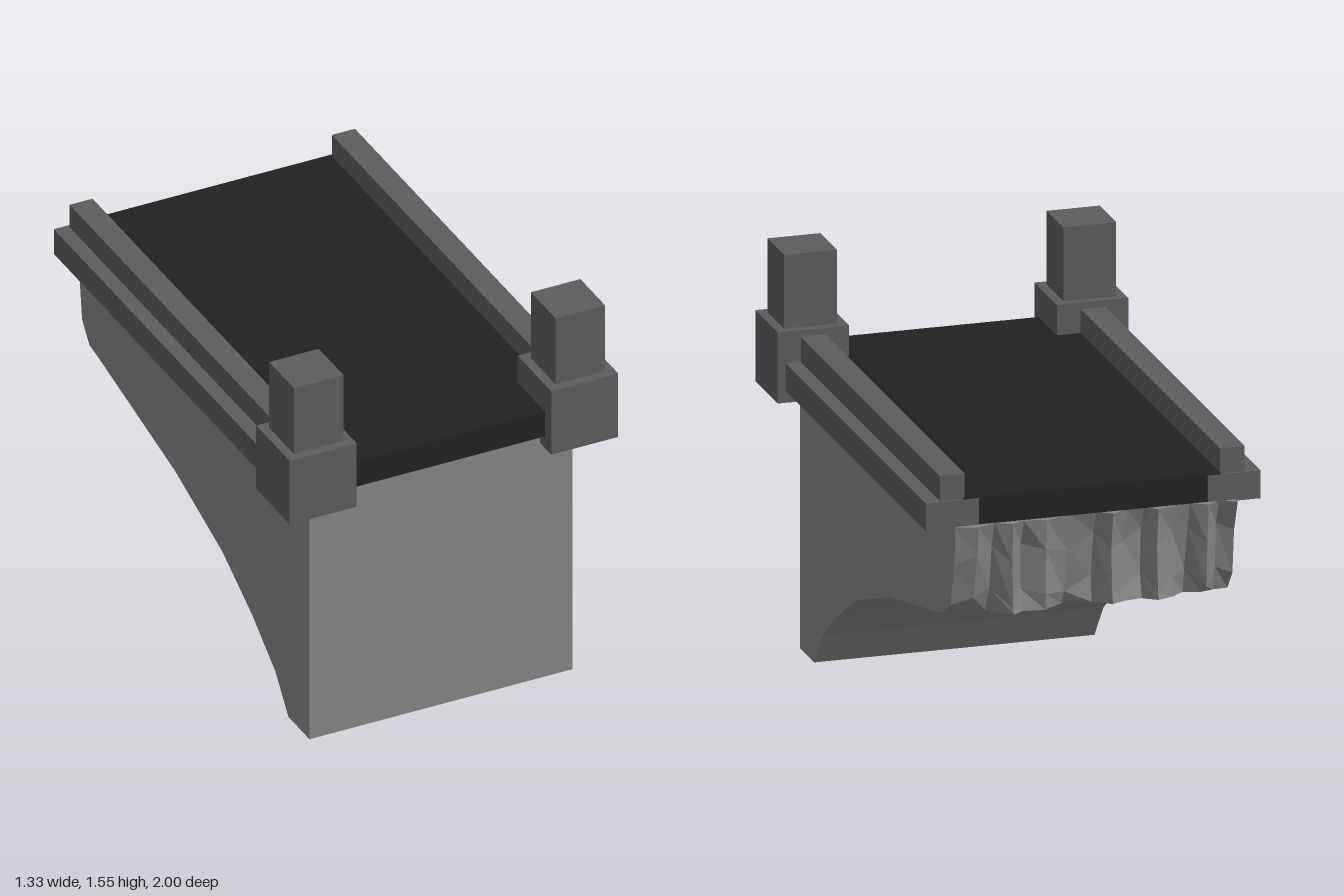
import * as THREE from 'three';

const material = (name, color) => {
  const m = new THREE.MeshStandardMaterial({ color });
  m.name = name;
  return m;
};

export function createModel() {
  const model = new THREE.Group();
  model.name = 'brokenBridge';
  const stone = material('light stone', 0x858585);
  const trim = material('dark stone', 0x5c5c5c);
  const asphalt = material('asphalt', 0x212121);

  const add = (name, geometry, mat) => {
    const mesh = new THREE.Mesh(geometry, mat);
    mesh.name = name;
    model.add(mesh);
  };
  // Box given by its limits on each axis
  const box = (name, mat, [x0, x1], [y0, y1], [z0, z1]) => {
    const g = new THREE.BoxGeometry(x1 - x0, y1 - y0, z1 - z0);
    g.translate((x0 + x1) / 2, (y0 + y1) / 2, (z0 + z1) / 2);
    add(name, g, mat);
  };

  const LEFT = 0.52, RIGHT = -0.54, TOP = 1.05, BREAK = -0.78;

  // Half arch: side profile as (z, y), extruded across the width
  const profile = [[0.91, 0], [0.74, 0], [0.635, 0.135], [0.45, 0.27], [0.21, 0.405],
    [-0.17, 0.535], [BREAK, 0.67], [BREAK, TOP], [0.91, TOP]];
  const shape = new THREE.Shape(profile.map(([z, y]) => new THREE.Vector2(-z, y)));
  const arch = new THREE.ExtrudeGeometry(shape, { depth: LEFT - RIGHT, bevelEnabled: false });
  arch.rotateY(Math.PI / 2).translate(RIGHT, 0, 0);
  add('archBody', arch, stone);

  // Broken end: columns of [x, z at bottom, z low, z high, z at top]
  const columns = [
    [RIGHT, -0.86, -0.92, -0.94, -0.985], [-0.48, -0.87, -0.90, -0.91, -0.95],
    [-0.43, -0.90, -0.96, -0.97, -0.985], [-0.37, -0.86, -0.88, -0.92, -0.95],
    [-0.31, -0.94, -0.93, -0.93, -0.96], [-0.24, -0.99, -0.98, -0.97, -0.985],
    [-0.20, -0.91, -0.89, -0.90, -0.94], [-0.13, -0.93, -0.92, -0.91, -0.95],
    [-0.07, -0.98, -0.97, -0.96, -0.985], [-0.02, -0.88, -0.87, -0.90, -0.94],
    [0.08, -0.84, -0.87, -0.91, -0.95], [0.18, -0.96, -0.97, -0.97, -0.98],
    [0.26, -0.94, -0.92, -0.92, -0.96], [0.31, -1.00, -0.99, -0.98, -0.99],
    [0.37, -0.84, -0.89, -0.92, -0.955], [0.44, -0.82, -0.92, -0.97, -0.99],
    [LEFT, -0.80, -0.905, -0.95, -0.965],
  ];
  const sections = columns.map(([x, b, l, h, t], i) => {
    const wobble = 0.03 * Math.sin(i * 2.3);
    return [[x, 0.67, BREAK], [x, 0.67 + (BREAK - b) * 0.18, b], [x, 0.76 + wobble, l],
      [x, 0.93 + wobble, h], [x, TOP, t], [x, TOP, BREAK]];
  });
  const points = [];
  const triangle = (a, b, c) => points.push(...a, ...b, ...c);
  for (let i = 0; i < sections.length - 1; i++) {
    const s = sections[i], n = sections[i + 1];
    for (let j = 0; j < s.length - 1; j++) {
      triangle(s[j], s[j + 1], n[j + 1]);
      triangle(s[j], n[j + 1], n[j]);
    }
  }
  // Flat flanks closing the two sides
  const first = sections[0], last = sections[sections.length - 1];
  for (let j = 0; j < 4; j++) {
    triangle(first[5], first[j + 1], first[j]);
    triangle(last[5], last[j], last[j + 1]);
  }
  const rubble = new THREE.BufferGeometry();
  rubble.setAttribute('position', new THREE.Float32BufferAttribute(points, 3));
  rubble.computeVertexNormals();
  add('brokenEnd', rubble, stone);

  // Road deck
  box('roadDeck', asphalt, [-0.485, 0.485], [1.05, 1.155], [-0.955, 0.95]);

  // Kerbs, railings and gate pillars on both sides
  for (const [side, s, d] of [['left', 1, 0], ['right', -1, 0.005]]) {
    const span = (a, b) => (s > 0 ? [a, b] : [-b - d, -a - d]);
    box(side + 'Kerb', trim, span(0.43, 0.63), [1.045, 1.15], [-0.958, 0.9]);
    box(side + 'Railing', trim, span(0.48, 0.573), [1.15, 1.245], [-0.945, 0.9]);
    box(side + 'PillarBase', trim, span(0.39, 0.66), [1.0, 1.27], [0.73, 1.0]);
    box(side + 'PillarPost', trim, span(0.425, 0.625), [1.27, 1.55], [0.765, 0.965]);
  }
  return model;
}
